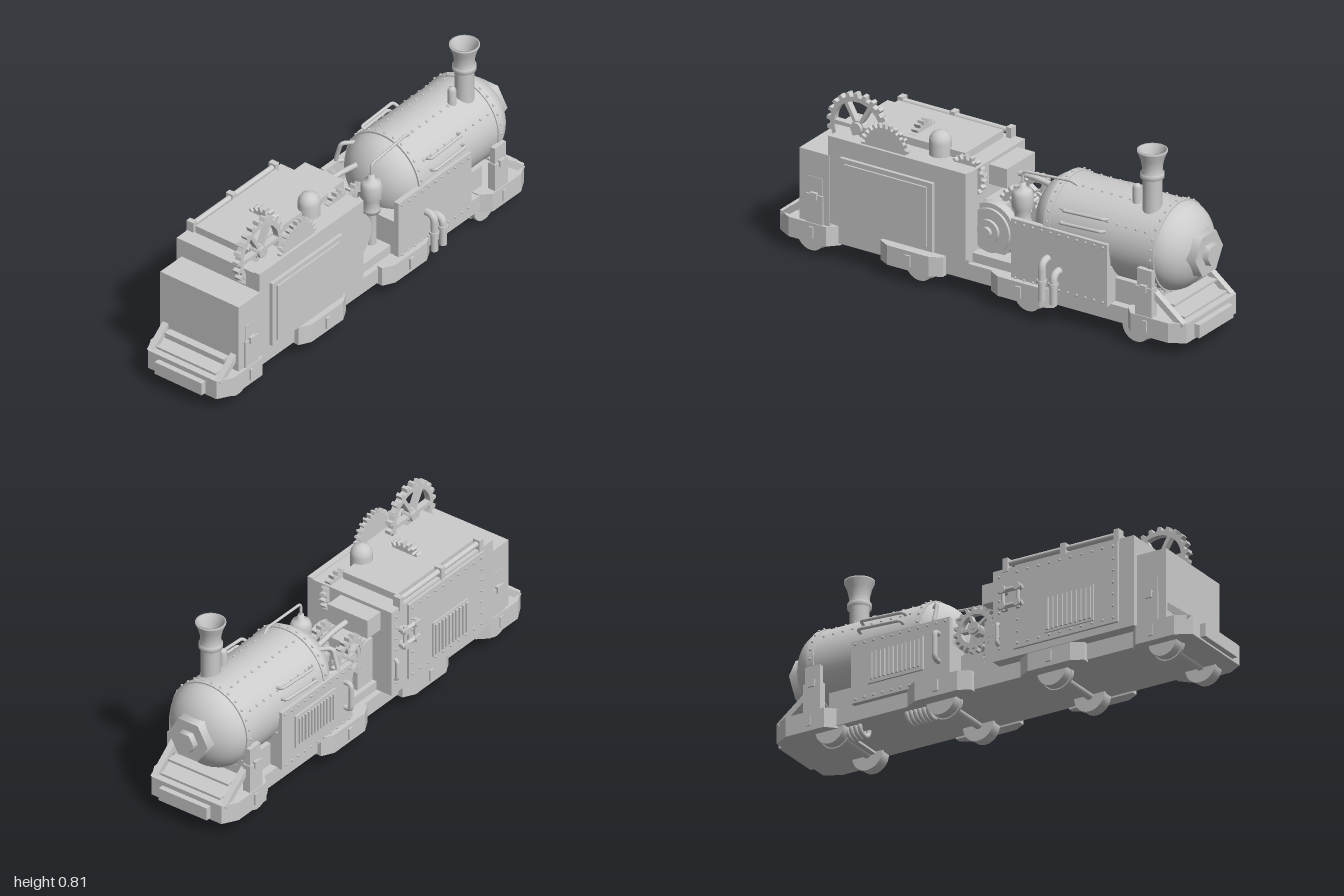
import * as THREE from 'three';

const mat = new THREE.MeshStandardMaterial({ color: 0xcccccc, side: THREE.DoubleSide });
const V = (x, y, z) => new THREE.Vector3(x, y, z);

export function createModel() {
  const root = new THREE.Group();
  root.name = 'steamLocomotive';
  const add = (name, geo) => {
    const m = new THREE.Mesh(geo, mat);
    m.name = name;
    root.add(m);
    return m;
  };
  // box given by its limits on each axis
  const box = (name, x0, x1, y0, y1, z0, z1) => {
    const m = add(name, new THREE.BoxGeometry(x1 - x0, y1 - y0, z1 - z0));
    m.position.set((x0 + x1) / 2, (y0 + y1) / 2, (z0 + z1) / 2);
    return m;
  };
  // round bar between two points
  const rod = (name, a, b, r, r2 = r, n = 20) => {
    const m = add(name, new THREE.CylinderGeometry(r2, r, a.distanceTo(b), n));
    m.position.copy(a).lerp(b, 0.5);
    m.quaternion.setFromUnitVectors(V(0, 1, 0), b.clone().sub(a).normalize());
    return m;
  };
  // pipe with rounded bends through corner points
  const pipe = (name, pts, r, bend = 0.03) => {
    const path = new THREE.CurvePath();
    let last = pts[0];
    for (let i = 1; i < pts.length - 1; i++) {
      const p = pts[i];
      const a = p.clone().add(pts[i - 1].clone().sub(p).setLength(bend));
      const b = p.clone().add(pts[i + 1].clone().sub(p).setLength(bend));
      path.add(new THREE.LineCurve3(last, a));
      path.add(new THREE.QuadraticBezierCurve3(a, p, b));
      last = b;
    }
    path.add(new THREE.LineCurve3(last, pts[pts.length - 1]));
    return add(name, new THREE.TubeGeometry(path, 48, r, 10));
  };
  const lathe = (name, pts, x, y, z) => {
    const m = add(name, new THREE.LatheGeometry(pts.map(p => new THREE.Vector2(...p)), 48));
    m.position.set(x, y, z);
    return m;
  };
  const extrude = (shape, depth) =>
    new THREE.ExtrudeGeometry(shape, { depth, bevelEnabled: false, curveSegments: 20 });
  const rivet = (x, y, z) => add('rivet', new THREE.SphereGeometry(0.006, 6, 4)).position.set(x, y, z);
  // toothed wheel, optionally spoked, facing z
  const gear = (name, x, y, z, r, teeth, w, spokes = 0) => {
    const s = new THREE.Shape(), step = Math.PI * 2 / teeth, root_ = r - 0.017;
    for (let i = 0; i < teeth; i++)
      [[0, root_], [0.45, root_], [0.55, r], [0.9, r]].forEach(([f, q], k) => {
        const a = (i + f) * step;
        s[i + k ? 'lineTo' : 'moveTo'](q * Math.cos(a), q * Math.sin(a));
      });
    s.closePath();
    for (let i = 0; i < spokes; i++) {
      const a = i * Math.PI * 2 / spokes, b = a + Math.PI * 2 / spokes, h = new THREE.Path();
      h.absarc(0, 0, root_ - 0.02, a + 0.08, b - 0.08, false);
      h.absarc(0, 0, 0.03, b - 0.25, a + 0.25, true);
      h.closePath();
      s.holes.push(h);
    }
    const geo = extrude(s, w);
    geo.translate(0, 0, -w / 2);
    const m = add(name, geo);
    m.position.set(x, y, z);
    if (!spokes) return m;
    rod(name + 'Hub', V(x, y, z - w), V(x, y, z + w), 0.025);
    return m;
  };

  // chassis, wheels and axle boxes
  box('chassis', -0.95, 0.95, 0.07, 0.14, -0.175, 0.175);
  for (const x of [-0.83, -0.31, 0.21, 0.73]) {
    rod('axle', V(x, 0.068, -0.16), V(x, 0.068, 0.16), 0.018);
    for (const s of [-1, 1]) {
      rod('wheel', V(x, 0.07, s * 0.125), V(x, 0.07, s * 0.17), 0.066, 0.066, 32);
      rod('wheelFlange', V(x, 0.07, s * 0.113), V(x, 0.07, s * 0.127), 0.071, 0.071, 32);
    }
  }
  for (const x of [-0.33, 0.2]) for (const s of [-1, 1]) {
    const sh = new THREE.Shape([[-0.15, 0.17], [0.15, 0.17], [0.15, 0.195], [0.1, 0.222], [-0.1, 0.222], [-0.15, 0.195]]
      .map(p => new THREE.Vector2(p[0], s * p[1])));
    const m = add('axleBox', extrude(sh, 0.085));
    m.rotation.x = Math.PI / 2;
    m.position.set(x, 0.147, 0);
    box('axleBoxPlate', x - 0.012, x + 0.012, 0.08, 0.13, s * 0.224 - 0.006, s * 0.224 + 0.006);
  }

  // matching buffer frames, uprights, struts and steps at both ends
  for (const d of [-1, 1]) {
    const X = (a, b) => d > 0 ? [a, b] : [-b, -a];
    const sh = new THREE.Shape([[0.69, 0.17], [0.73, 0.212], [0.91, 0.212], [0.975, 0.175],
      [0.975, -0.175], [0.91, -0.212], [0.73, -0.212], [0.69, -0.17]].map(p => new THREE.Vector2(d * p[0], p[1])));
    const frame = add('bufferFrame', extrude(sh, 0.085));
    frame.rotation.x = Math.PI / 2;
    frame.position.y = 0.145;
    box('bufferPlate', ...X(0.95, 1), 0.068, 0.125, -0.12, 0.12);
    [0.16, 0.2].forEach((y, i) => box('step', ...X(0.9 - i * 0.05, 0.95 - i * 0.05), y - 0.01, y, -0.15, 0.15));
    for (const s of [-1, 1]) {
      box('upright', ...X(0.75, 0.83), 0.14, 0.27, s * 0.19 - 0.018, s * 0.19 + 0.018);
      box('uprightHead', ...X(0.755, 0.825), 0.24, 0.345, s * 0.19 - 0.012, s * 0.19 + 0.012);
      box('uprightPlate', ...X(0.775, 0.805), 0.25, 0.28, s * 0.205 - 0.01, s * 0.205 + 0.01);
      const strut = box('strut', -0.09, 0.09, -0.013, 0.013, -0.014, 0.014);
      strut.position.set(d * 0.888, 0.186, s * 0.173);
      strut.rotation.z = -d * 0.67;
      box('framePlate', ...X(0.79, 0.81), 0.08, 0.13, s * 0.212 - 0.006, s * 0.212 + 0.006);
    }
  }

  // boiler with domed ends
  const prof = [];
  for (let i = 0; i <= 14; i++) {
    const a = i / 14 * Math.PI / 2;
    prof.push([0.185 * Math.sin(a), 0.32 - 0.14 * Math.cos(a)]);
  }
  for (let i = 0; i <= 14; i++) {
    const a = i / 14 * Math.PI / 2;
    prof.push([0.185 * Math.cos(a), 0.81 + 0.135 * Math.sin(a)]);
  }
  lathe('boiler', prof, 0, 0.385, 0).rotation.z = -Math.PI / 2;
  for (const x of [0.31, 0.81]) {
    rod('boilerBand', V(x - 0.015, 0.385, 0), V(x + 0.015, 0.385, 0), 0.19, 0.19, 48);
    for (let i = 0; i < 28; i++) {
      const a = i / 28 * Math.PI * 2;
      rivet(x, 0.385 + 0.191 * Math.cos(a), 0.191 * Math.sin(a));
    }
  }
  for (const a of [-1, -0.35, 0.35, 1]) for (let x = 0.36; x < 0.78; x += 0.045)
    rivet(x, 0.385 + 0.186 * Math.cos(a), 0.186 * Math.sin(a));
  rod('frontNut', V(0.89, 0.385, 0), V(0.965, 0.385, 0), 0.105, 0.098, 6);
  rod('frontBolt', V(0.96, 0.385, 0), V(0.99, 0.385, 0), 0.05, 0.046, 6);
  box('boilerCradle', 0.61, 0.75, 0.14, 0.24, -0.14, 0.14);
  for (const y of [0.445, 0.49]) for (const s of [-1, 1]) {
    const z = Math.sqrt(0.185 ** 2 - (y - 0.385) ** 2) * s;
    pipe('boilerHandrail', [V(0.38, y - 0.01, z * 0.95), V(0.38, y, z + s * 0.025),
      V(0.58, y + 0.01, z + s * 0.025), V(0.58, y, z * 0.95)], 0.007, 0.015);
  }
  pipe('rearHandle', [V(0.27, 0.5, -0.12), V(0.23, 0.5, -0.16), V(0.23, 0.4, -0.19), V(0.27, 0.4, -0.16)], 0.009, 0.02);

  // chimney and whistle
  lathe('chimney', [[0.04, 0.53], [0.04, 0.685], [0.049, 0.685], [0.049, 0.705], [0.04, 0.705],
    [0.043, 0.74], [0.05, 0.77], [0.062, 0.798], [0.062, 0.805], [0.054, 0.805], [0.034, 0.74], [0.032, 0.6], [0, 0.6]], 0.735, 0, 0.063);
  lathe('whistle', [[0.018, 0.53], [0.018, 0.62], [0.012, 0.632], [0, 0.636]], 0.66, 0, 0.06);

  // firebox panels under the boiler
  box('firebox', 0.16, 0.61, 0.14, 0.3, -0.175, 0.175);
  for (const s of [-1, 1]) {
    box('sidePanel', 0.15, 0.61, 0.135, 0.405, s * 0.187 - 0.012, s * 0.187 + 0.012);
    for (let i = 0; i < 11; i++) for (const y of [0.15, 0.39]) rivet(0.17 + i * 0.042, y, s * 0.2);
  }
  box('grilleFrame', 0.27, 0.53, 0.2, 0.35, -0.208, -0.195);
  for (let i = 0; i < 12; i++) box('grilleSlat', 0.285 + i * 0.02, 0.295 + i * 0.02, 0.215, 0.335, -0.216, -0.2);
  pipe('panelHandle', [V(0.2, 0.34, -0.19), V(0.2, 0.34, -0.23), V(0.2, 0.22, -0.23), V(0.2, 0.22, -0.19)], 0.011, 0.02);
  for (const [x, y] of [[0.325, 0.275], [0.38, 0.235]]) {
    pipe('exhaustPipe', [V(x, y, 0.18), V(x, y, 0.24), V(x, 0.105, 0.24)], 0.016, 0.035);
    rod('pipeCollar', V(x, 0.185, 0.24), V(x, 0.197, 0.24), 0.021);
  }
  for (const [x, n] of [[0.29, 6], [0.61, 4]]) for (let i = 0; i < n; i++) {
    const coil = add('hoseCoil', new THREE.TorusGeometry(0.035, 0.01, 8, 20));
    coil.rotation.y = Math.PI / 2;
    coil.position.set(x + i * 0.02, 0.068, -0.1);
  }

  // cabin, front plate and rear box
  box('cabin', -0.73, -0.07, 0.14, 0.535, -0.225, 0.175);
  box('cabinFrontWall', -0.73, -0.07, 0.16, 0.54, 0.17, 0.197);
  box('frontPlate', -0.665, -0.22, 0.165, 0.465, 0.19, 0.212);
  box('frontPlateInset', -0.64, -0.245, 0.185, 0.445, 0.2, 0.22);
  box('rearBox', -0.865, -0.72, 0.14, 0.455, -0.2, 0.2);
  box('cabinNose', -0.08, 0.015, 0.435, 0.52, -0.17, 0.03);
  box('roofPlate', -0.655, -0.15, 0.53, 0.567, -0.19, 0.08);
  rod('roofBar', V(-0.65, 0.56, -0.212), V(-0.12, 0.56, -0.212), 0.012);
  for (const x of [-0.65, -0.4, -0.13]) box('roofBarBracket', x - 0.012, x + 0.012, 0.52, 0.58, -0.23, -0.195);
  box('backPlate', -0.66, -0.17, 0.17, 0.525, -0.236, -0.22);
  for (let i = 0; i < 10; i++) for (const y of [0.19, 0.505]) rivet(-0.64 + i * 0.05, y, -0.237);
  for (let i = 0; i < 7; i++) for (const x of [-0.64, -0.19, -0.1]) rivet(x, 0.19 + i * 0.052, x > -0.15 ? -0.226 : -0.237);
  box('ventFrame', -0.55, -0.32, 0.2, 0.36, -0.242, -0.23);
  for (let i = 0; i < 10; i++) box('ventSlat', -0.54 + i * 0.022, -0.528 + i * 0.022, 0.21, 0.35, -0.25, -0.235);
  // valve pipes on the back corner
  for (const y of [0.36, 0.43]) {
    rod('valvePipe', V(-0.22, y, -0.245), V(-0.11, y, -0.245), 0.01);
    for (const x of [-0.2, -0.13]) rod('valveKnob', V(x, y, -0.22), V(x, y, -0.26), 0.015);
  }
  for (const x of [-0.2, -0.13]) rod('valvePipe', V(x, 0.34, -0.245), V(x, 0.45, -0.245), 0.008);
  pipe('cabinHandle', [V(-0.095, 0.3, -0.21), V(-0.095, 0.3, -0.235), V(-0.095, 0.21, -0.235), V(-0.095, 0.21, -0.21)], 0.009, 0.015);

  // roof gears and steam dome
  gear('driveGear', -0.635, 0.572, 0.115, 0.148, 22, 0.028, 6);
  gear('plateGear', -0.465, 0.535, 0.175, 0.115, 26, 0.02);
  gear('cornerGear', -0.125, 0.485, 0.1, 0.088, 18, 0.025);
  gear('crossGear', -0.425, 0.51, -0.02, 0.095, 22, 0.03).rotation.y = Math.PI / 2;
  lathe('steamDome', [[0.046, 0.53], [0.046, 0.59], [0.043, 0.608], [0.033, 0.625], [0.018, 0.634], [0, 0.637]], -0.27, 0, 0.08);

  // machinery between cabin and boiler
  box('machineBase', -0.08, 0.17, 0.14, 0.18, -0.15, 0.15);
  box('machineBlock', -0.07, 0.03, 0.16, 0.38, -0.13, 0.06);
  [[0.115, 0.06, 0.1], [0.095, 0.07, 0.112], [0.05, 0.08, 0.125], [0.022, 0.09, 0.14]].forEach(([r, a, b]) =>
    rod('flywheel', V(-0.015, 0.275, a), V(-0.015, 0.275, b), r, r, 32));
  for (const z of [-0.12, 0.02]) {
    gear('transferGear', 0.075, 0.36, z, 0.1, 20, 0.025, 5);
    gear('lowerGear', 0.11, 0.23, z + 0.035, 0.075, 16, 0.025);
  }
  rod('gearShaft', V(0.075, 0.36, -0.15), V(0.075, 0.36, 0.05), 0.012);
  lathe('valvePot', [[0.02, 0.18], [0.02, 0.33], [0.036, 0.335], [0.036, 0.35], [0.032, 0.355], [0.032, 0.4],
    [0.044, 0.405], [0.044, 0.46], [0.035, 0.48], [0.015, 0.49], [0.012, 0.51], [0, 0.51]], 0.125, 0, 0.08);
  pipe('steamPipe', [V(0.125, 0.5, 0.08), V(0.125, 0.56, 0.08), V(0.36, 0.572, 0.07), V(0.4, 0.54, 0.06)], 0.006, 0.02);
  pipe('feedPipe', [V(0.0, 0.47, -0.06), V(0.09, 0.47, -0.06), V(0.22, 0.45, -0.06)], 0.012, 0.03);

  return root;
}
